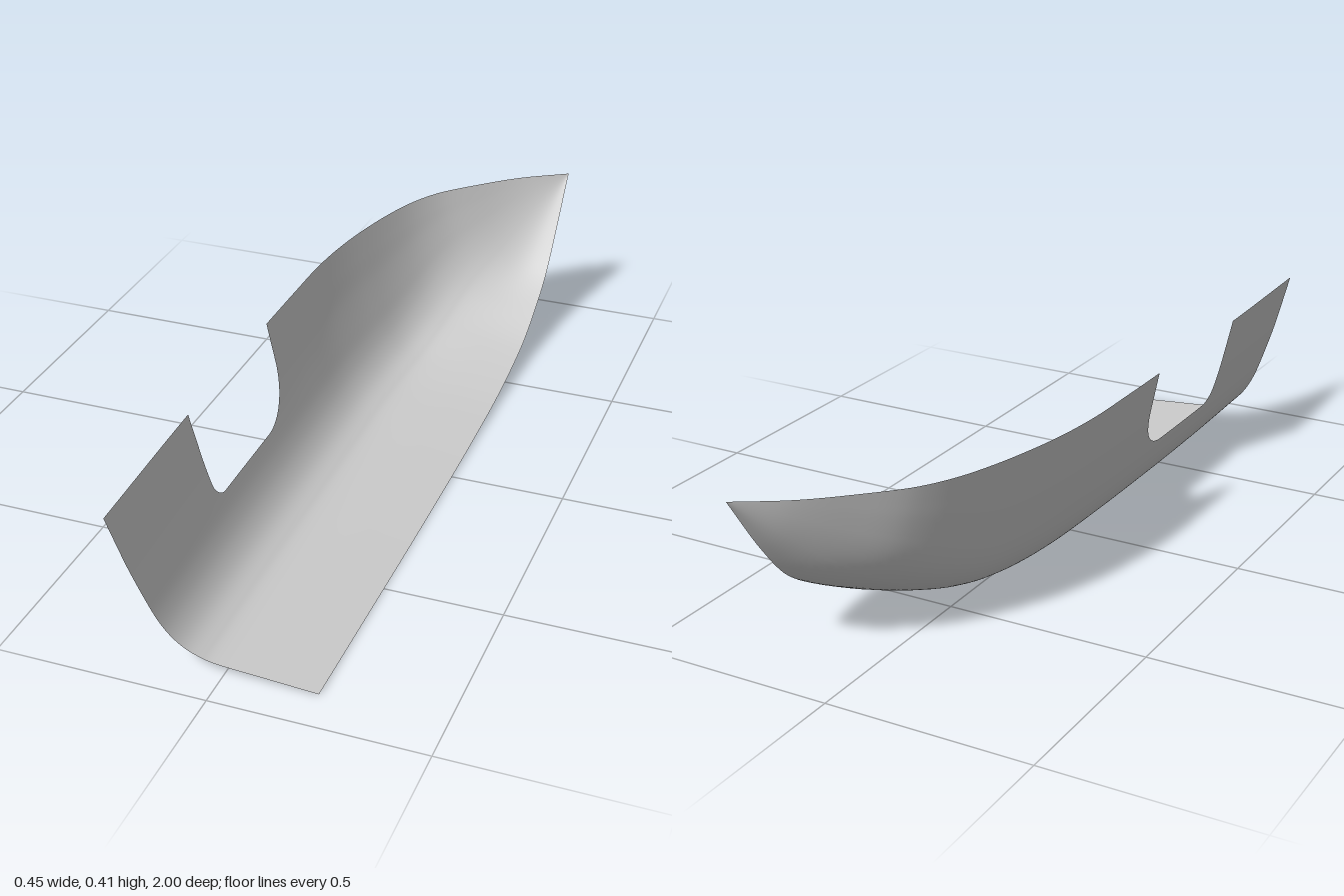
import * as THREE from 'three';

const TOP = 0.412;

// Smooth interpolation through a short list of [key, value] pairs
function spline(pts) {
  const slope = (i) => {
    const a = pts[Math.max(i - 1, 0)], b = pts[Math.min(i + 1, pts.length - 1)];
    return (b[1] - a[1]) / (b[0] - a[0]);
  };
  return (x) => {
    let i = 0;
    while (i < pts.length - 2 && x > pts[i + 1][0]) i++;
    const [x0, y0] = pts[i], [x1, y1] = pts[i + 1];
    const d = x1 - x0, s = Math.min(Math.max((x - x0) / d, 0), 1);
    const s2 = s * s, s3 = s2 * s;
    return y0 * (2 * s3 - 3 * s2 + 1) + y1 * (3 * s2 - 2 * s3)
      + d * (slope(i) * (s3 - 2 * s2 + s) + slope(i + 1) * (s3 - s2));
  };
}

// Height of the keel and x of the upper rim along the length
const keelY = spline([[-1, TOP], [-0.905, 0.268], [-0.82, 0.168], [-0.7, 0.095], [-0.6, 0.056],
  [-0.4, 0.022], [-0.2, 0.009], [0, 0.003], [0.3, 0], [0.6, 0.001], [1, 0.004]]);
const rimX = spline([[-1, 0.224], [-0.925, 0.106], [-0.83, 0], [-0.74, -0.083], [-0.62, -0.143],
  [-0.42, -0.196], [-0.24, -0.22], [-0.05, -0.224], [0.2, -0.224], [0.57, -0.221], [1, -0.208]]);

// Cross-section from keel to rim: fraction of breadth, fraction of height
const section = new THREE.SplineCurve([[0, 0], [0.27, 0.022], [0.54, 0.045], [0.64, 0.075], [0.72, 0.125],
  [0.785, 0.205], [0.835, 0.31], [0.878, 0.45], [0.93, 0.65], [0.967, 0.83], [1, 1]]
  .map(([f, h]) => new THREE.Vector2(f, h)));

function hullPoint(z, f, h) {
  const k = keelY(z);
  const keelX = 0.216 + 0.008 * (k / TOP) ** 2;
  // Sections become rounder towards the bow
  const bow = THREE.MathUtils.smoothstep(-z, 0.45, 1);
  const hh = THREE.MathUtils.lerp(h, f ** 2.6, bow);
  return [keelX + (rimX(z) - keelX) * f, k + (TOP - k) * hh, z];
}

// Side opening: sill height and the z of its two edges at a given height
const SILL = 0.185;
function openingFore(y) {
  const s = Math.min(Math.max((y - SILL) / 0.125, 0), 1);
  return 0.12 + 0.13 * (1 - Math.sqrt(1 - (1 - s) ** 2));
}
function openingAft(y) {
  const r = 0.042, s = Math.min(Math.max((y - SILL) / r, 0), 1);
  return 0.548 - r * (1 - Math.sqrt(1 - (1 - s) ** 2)) + 0.022 * Math.max(y - SILL, 0) / (TOP - SILL);
}
const transom = (y) => 0.903 + 0.097 * y / TOP;

function createHull() {
  // Curve parameter at which the section reaches the sill
  let lo = 0, hi = 1;
  for (let n = 0; n < 40; n++) {
    const m = (lo + hi) / 2;
    if (section.getPoint(m).y * TOP < SILL) lo = m; else hi = m;
  }
  const sillT = lo, low = 44, high = 36, rows = low + high + 1;
  const fore = 64, mid = 20, aft = 20, cols = fore + mid + aft + 2;
  const pos = [], index = [];

  for (let i = 0; i < cols; i++) {
    for (let j = 0; j < rows; j++) {
      const t = j <= low ? sillT * j / low : sillT + (1 - sillT) * ((j - low) / high) ** 2;
      const { x: f, y: h } = section.getPoint(t);
      const y = h * TOP;
      // Above the sill the edges follow the opening, below they run straight down
      const zf = openingFore(Math.max(y, SILL)), za = openingAft(Math.max(y, SILL));
      let z;
      if (i <= fore) z = -1 + (zf + 1) * (i / fore) ** 1.5;
      else if (i <= fore + mid) z = zf + (za - zf) * (i - fore) / mid;
      else z = za + (transom(y) - za) * (i - fore - mid) / (aft + 1);
      pos.push(...hullPoint(z, f, h));
    }
  }
  for (let i = 0; i < cols - 1; i++) {
    for (let j = 0; j < rows - 1; j++) {
      if (j >= low && i >= fore && i < fore + mid) continue; // the opening
      const a = i * rows + j, b = a + rows;
      if (i > 0) index.push(a, b, a + 1);
      index.push(b, b + 1, a + 1);
    }
  }
  const geo = new THREE.BufferGeometry();
  geo.setAttribute('position', new THREE.Float32BufferAttribute(pos, 3));
  geo.setIndex(index);
  geo.computeVertexNormals();
  return geo;
}

export function createModel() {
  const group = new THREE.Group();
  group.name = 'halfHull';
  const material = new THREE.MeshStandardMaterial({ color: 0xcccccc, side: THREE.DoubleSide });
  const hull = new THREE.Mesh(createHull(), material);
  hull.name = 'hullShell';
  group.add(hull);
  return group;
}
